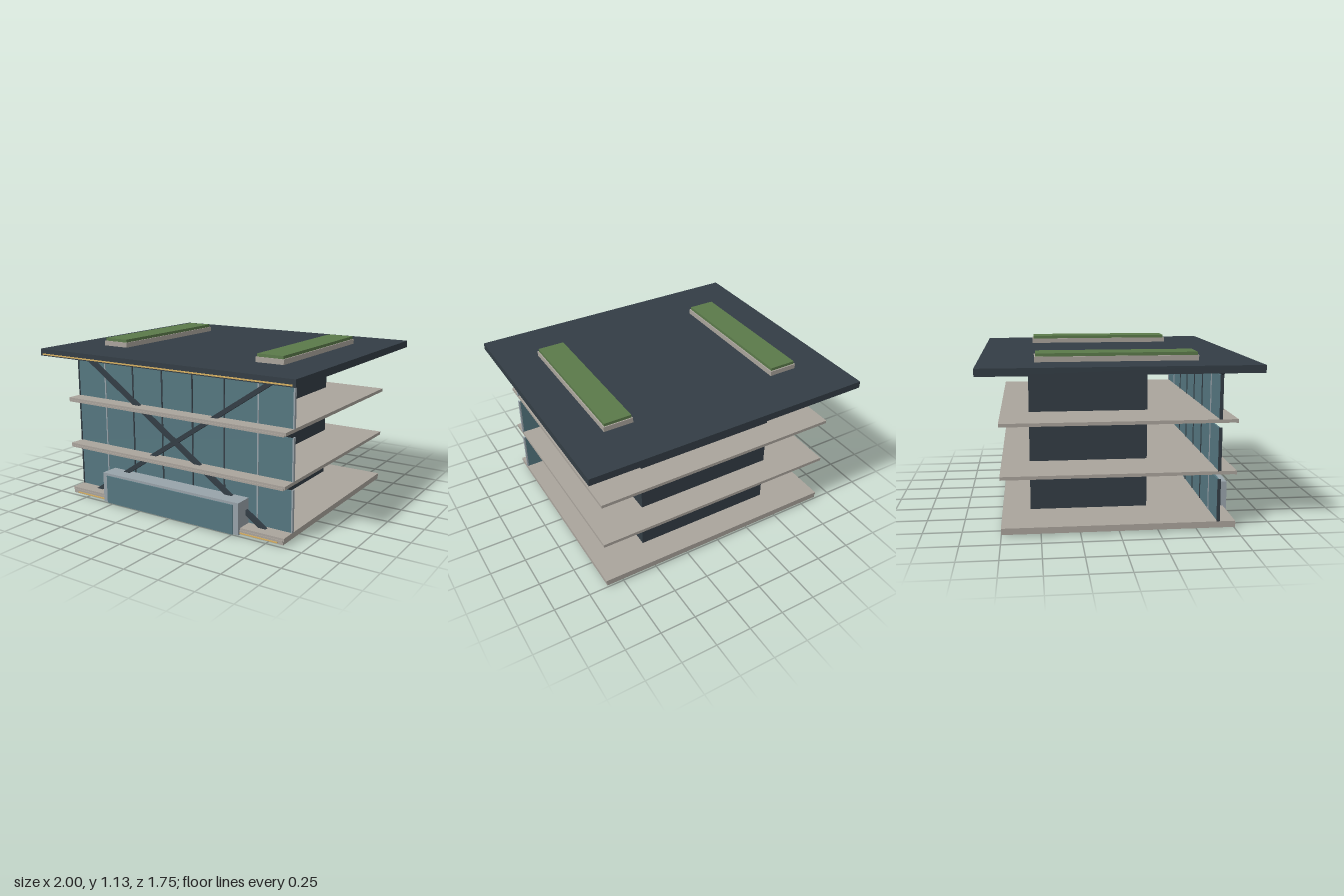
import * as THREE from 'three';

const mat = (color) => new THREE.MeshStandardMaterial({ color });

export function createModel() {
  const model = new THREE.Group();
  model.name = 'pavilionBuilding';

  const dark = mat(0x333d45), stone = mat(0xaaa49c), glass = mat(0x557780);
  const metal = mat(0x98a3aa), green = mat(0x5b7a4a), gold = mat(0xd8b060);

  // Box given by its extents on each axis
  const block = (name, material, [x0, x1], [y0, y1], [z0, z1], parent = model) => {
    const mesh = new THREE.Mesh(new THREE.BoxGeometry(x1 - x0, y1 - y0, z1 - z0), material);
    mesh.position.set((x0 + x1) / 2, (y0 + y1) / 2, (z0 + z1) / 2);
    mesh.name = name;
    parent.add(mesh);
    return mesh;
  };

  // Base plinth with its light strip
  block('basePlinth', stone, [-0.87, 0.87], [0.016, 0.037], [-0.75, 0.745]);
  block('baseLightStrip', gold, [-0.83, 0.83], [0.021, 0.029], [0.745, 0.75]);

  // Service core
  block('core', dark, [-0.5, 0.5], [0.05, 1.014], [-0.563, 0.225]);

  // Three storeys: slab, front lip, glazing and mullions
  [0.037, 0.37, 0.704].forEach((y, i) => {
    const storey = new THREE.Group();
    storey.name = `storey${i + 1}`;
    model.add(storey);
    const top = y + 0.022;
    block('floorSlab', stone, [-0.875, 0.875], [y, top], [-0.75, 0.745], storey);
    block('slabLip', stone, [-0.865, 0.865], [y - 0.005, y + 0.008], [0.735, 0.75], storey);
    block('glazing', glass, [-0.873, 0.871], [top, top + 0.274], [0.628, 0.639], storey);
    for (let k = 0; k < 8; k++) {
      const x = -0.871 + k * 0.249;
      block('mullion', k === 1 || k === 6 || k === 7 ? metal : dark,
        [x - 0.005, x + 0.005], [top, top + 0.28], [0.623, 0.643], storey);
    }
  });

  // Crossed diagonal braces in front of the glazing
  for (const side of [-1, 1]) {
    const brace = new THREE.Mesh(new THREE.BoxGeometry(1.8, 0.03, 0.026), dark);
    brace.name = 'diagonalBrace';
    brace.position.set(0, 0.513, 0.667);
    brace.rotation.z = side * Math.atan2(1, 1.5);
    model.add(brace);
  }

  // Entrance portal
  const portal = new THREE.Group();
  portal.name = 'entrancePortal';
  model.add(portal);
  for (const [x0, x1] of [[-0.56, -0.522], [0.522, 0.56]])
    block('portalPost', metal, [x0, x1], [0.016, 0.23], [0.643, 0.768], portal);
  block('portalCanopy', metal, [-0.522, 0.522], [0.212, 0.23], [0.643, 0.768], portal);
  block('entranceGlass', glass, [-0.522, 0.522], [0.016, 0.213], [0.755, 0.776], portal);

  // Overhanging roof with a light strip along its front edge
  block('roof', dark, [-1, 1], [1.033, 1.081], [-0.877, 0.87]);
  block('roofLightStrip', gold, [-0.98, 0.98], [1.04, 1.049], [0.87, 0.874]);

  // Planted beds on the roof
  for (const x of [-0.626, 0.626]) {
    block('planterBase', stone, [x - 0.101, x + 0.101], [1.081, 1.115], [-0.523, 0.517]);
    block('planting', green, [x - 0.093, x + 0.093], [1.115, 1.135], [-0.515, 0.509]);
  }

  return model;
}
